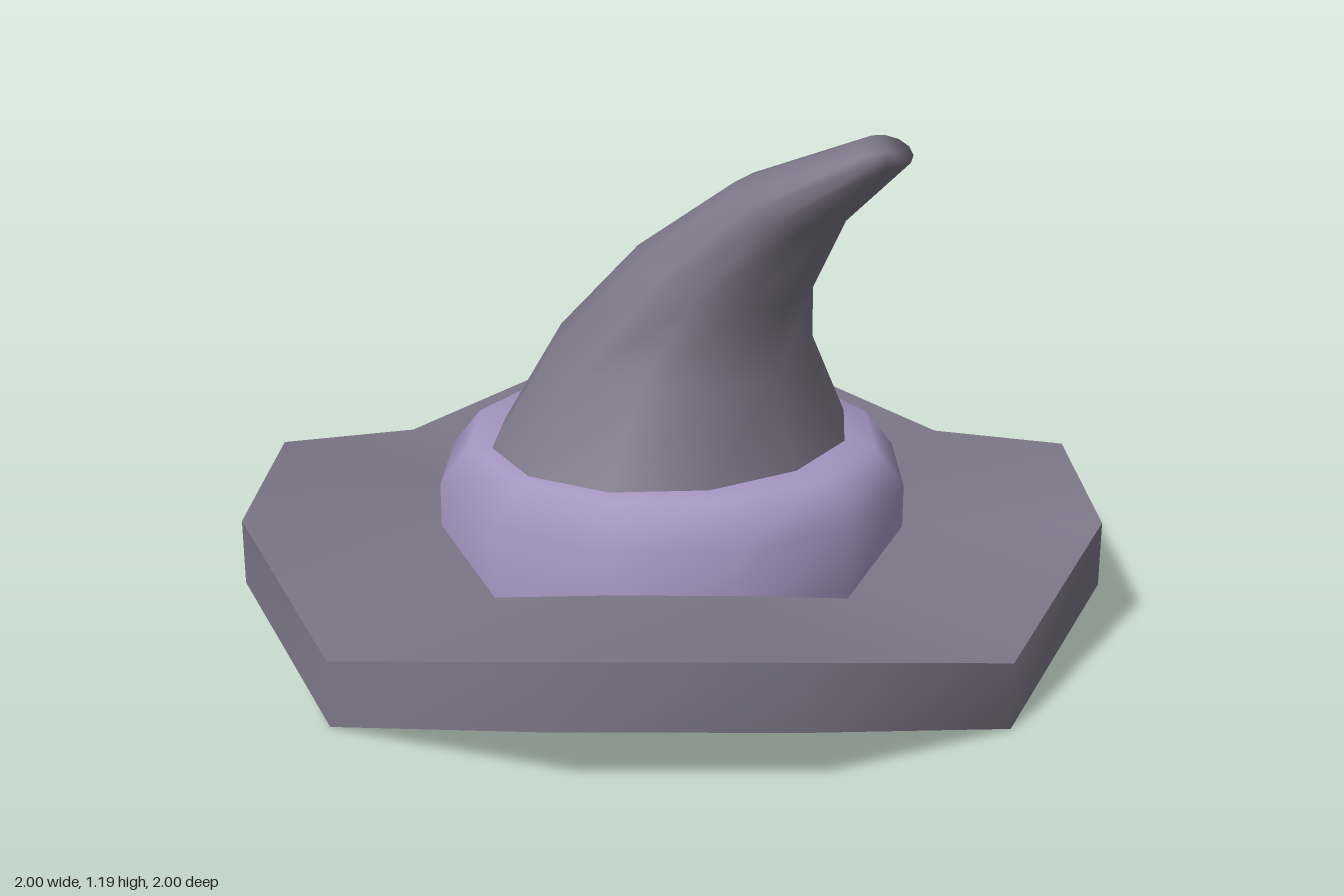
import * as THREE from 'three';
import { mergeVertices } from 'three/addons/utils/BufferGeometryUtils.js';

const SIDES = 12;

// Smooth skin through a list of closed rings; point(ring, angle) gives [x, y, z]
function loft(rings, point) {
  const positions = [];
  const index = [];
  rings.forEach((ring, i) => {
    for (let j = 0; j < SIDES; j++) {
      positions.push(...point(ring, (j / SIDES) * Math.PI * 2));
      if (i === 0) continue;
      const k = (j + 1) % SIDES;
      const a = (i - 1) * SIDES + j, b = (i - 1) * SIDES + k;
      const c = i * SIDES + k, d = i * SIDES + j;
      index.push(a, b, c, a, c, d);
    }
  });
  const geometry = new THREE.BufferGeometry();
  geometry.setAttribute('position', new THREE.Float32BufferAttribute(positions, 3));
  geometry.setIndex(index);
  const merged = mergeVertices(geometry, 1e-4);
  merged.computeVertexNormals();
  return merged;
}

// Brim ring [radius, y]: dips at front, back and both sides
const brimPoint = ([r, y], a) => [
  r * Math.sin(a),
  y + r * 0.127 * (1 - Math.cos(4 * a)) / 1.5,
  r * Math.cos(a),
];

// Plain round ring [radius, y]
const roundPoint = ([r, y], a) => [r * Math.sin(a), y, r * Math.cos(a)];

// Tilted oval ring [halfWidth, frontZ, frontY, backZ, backY]
const conePoint = ([w, fz, fy, bz, by], a) => {
  const t = (1 + Math.cos(a)) / 2;
  return [w * Math.sin(a), by + (fy - by) * t, bz + (fz - bz) * t];
};

export function createModel() {
  const felt = new THREE.MeshStandardMaterial({ color: 0x7c7788 });
  felt.name = 'grey felt';
  const ribbon = new THREE.MeshStandardMaterial({ color: 0xa495c0 });
  ribbon.name = 'lilac ribbon';

  const model = new THREE.Group();
  model.name = 'hat';
  const add = (name, geometry, material, parent = model) => {
    const mesh = new THREE.Mesh(geometry, material);
    mesh.name = name;
    parent.add(mesh);
  };

  // Wavy brim: separate skins keep the rim edges sharp
  const brim = new THREE.Group();
  brim.name = 'brim';
  model.add(brim);
  add('brimTop', loft([[1, 0.15], [0, 0.15]], brimPoint), felt, brim);
  add('brimEdge', loft([[1, 0], [1, 0.15]], brimPoint), felt, brim);
  add('brimUnderside', loft([[0, 0], [1, 0]], brimPoint), felt, brim);

  // Rounded band round the foot of the cone
  add('band', loft([[0.55, 0.12], [0.55, 0.32], [0.48, 0.408], [0.36, 0.408]], roundPoint), ribbon);

  // Bent cone, curling forward to a blunt tip
  add('cone', loft([
    [0.45, 0.395, 0.4, -0.395, 0.4],
    [0.325, 0.325, 0.6, -0.24, 0.66],
    [0.225, 0.35, 0.78, -0.02, 0.88],
    [0.145, 0.47, 0.97, 0.25, 1.06],
    [0.072, 0.66, 1.135, 0.58, 1.19],
    [0, 0.62, 1.163, 0.62, 1.163],
  ], conePoint), felt);

  return model;
}
